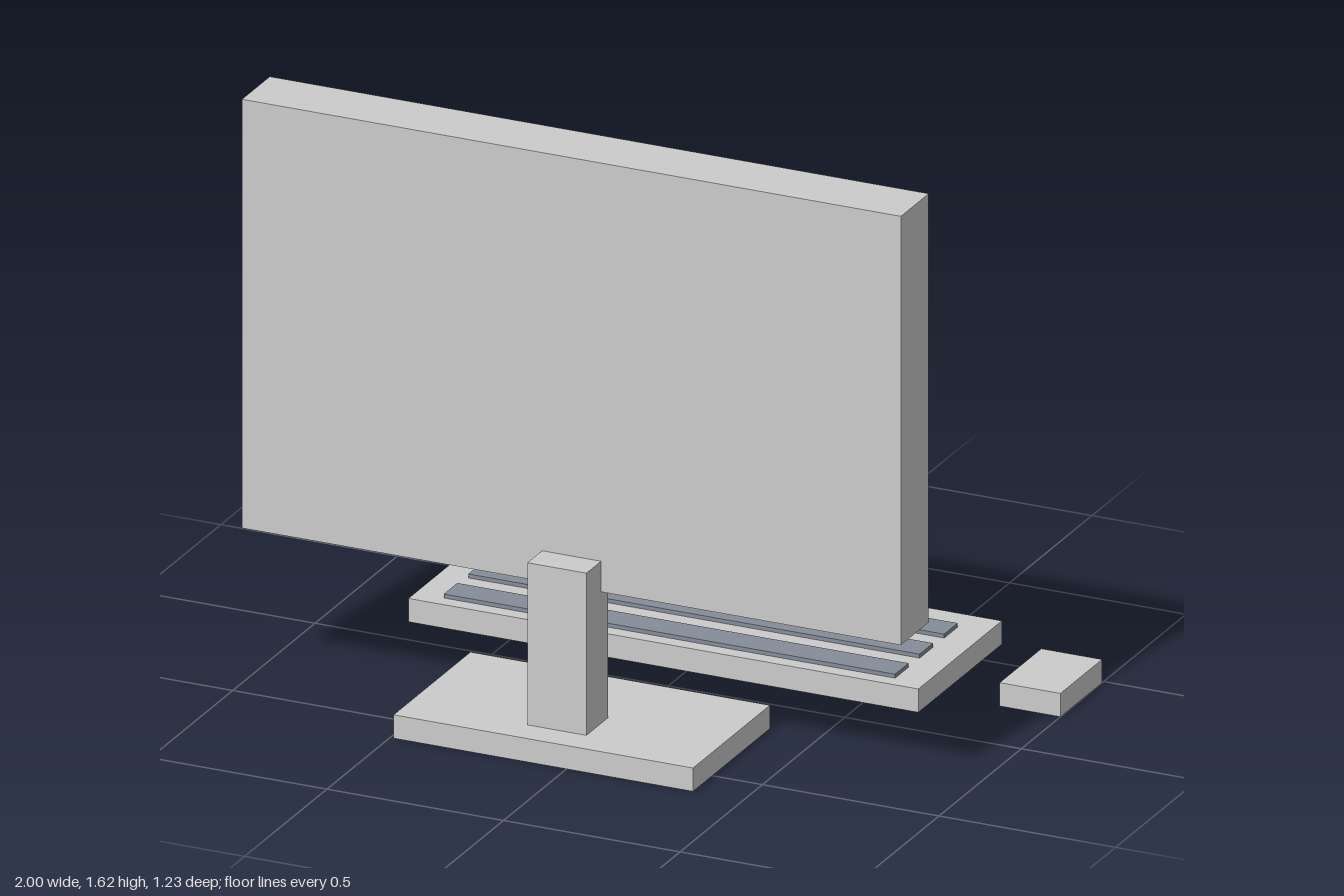
import * as THREE from 'three';

export function createModel() {
  const model = new THREE.Group();
  model.name = 'desktopComputer';

  const grey = new THREE.MeshStandardMaterial({ color: 0xcccccc });
  const blue = new THREE.MeshStandardMaterial({ color: 0x468cc0 });
  const slate = new THREE.MeshStandardMaterial({ color: 0x858d9a });

  // Box given by its extents along each axis
  function block(parent, name, material, [x0, x1], [y0, y1], [z0, z1]) {
    const mesh = new THREE.Mesh(new THREE.BoxGeometry(x1 - x0, y1 - y0, z1 - z0), material);
    mesh.position.set((x0 + x1) / 2, (y0 + y1) / 2, (z0 + z1) / 2);
    mesh.name = name;
    parent.add(mesh);
  }

  function group(name) {
    const g = new THREE.Group();
    g.name = name;
    model.add(g);
    return g;
  }

  // Monitor, with its screen facing the keyboard (-z)
  const monitor = group('monitor');
  block(monitor, 'monitorCase', grey, [-1, 0.866], [0.43, 1.62], [0.275, 0.444]);
  block(monitor, 'screen', blue, [-0.872, 0.742], [0.557, 1.49], [0.232, 0.275]);
  block(monitor, 'standBase', grey, [-0.49, 0.358], [0, 0.065], [0.15, 0.617]);
  block(monitor, 'standNeck', grey, [-0.15, 0.017], [0.065, 0.515], [0.403, 0.533]);

  // Small house picture raised on the screen
  const house = group('housePicture');
  block(house, 'houseRoof', grey, [-0.343, 0.208], [1.11, 1.195], [0.211, 0.232]);
  block(house, 'houseWall', grey, [-0.263, 0.127], [0.855, 1.11], [0.211, 0.232]);
  block(house, 'houseDoor', blue, [-0.131, -0.003], [0.855, 1.0], [0.2, 0.211]);

  // Keyboard with three long key rows
  const keyboard = group('keyboard');
  block(keyboard, 'keyboardBody', grey, [-0.787, 0.657], [0, 0.065], [-0.617, -0.11]);
  for (let i = 0; i < 3; i++) {
    const z = -0.49 + i * 0.149;
    block(keyboard, 'keyRow', slate, [-0.706, 0.572], [0.065, 0.076], [z - 0.041, z + 0.041]);
  }

  // Mouse
  block(model, 'mouse', grey, [0.828, 1], [0, 0.065], [-0.49, -0.237]);

  return model;
}
